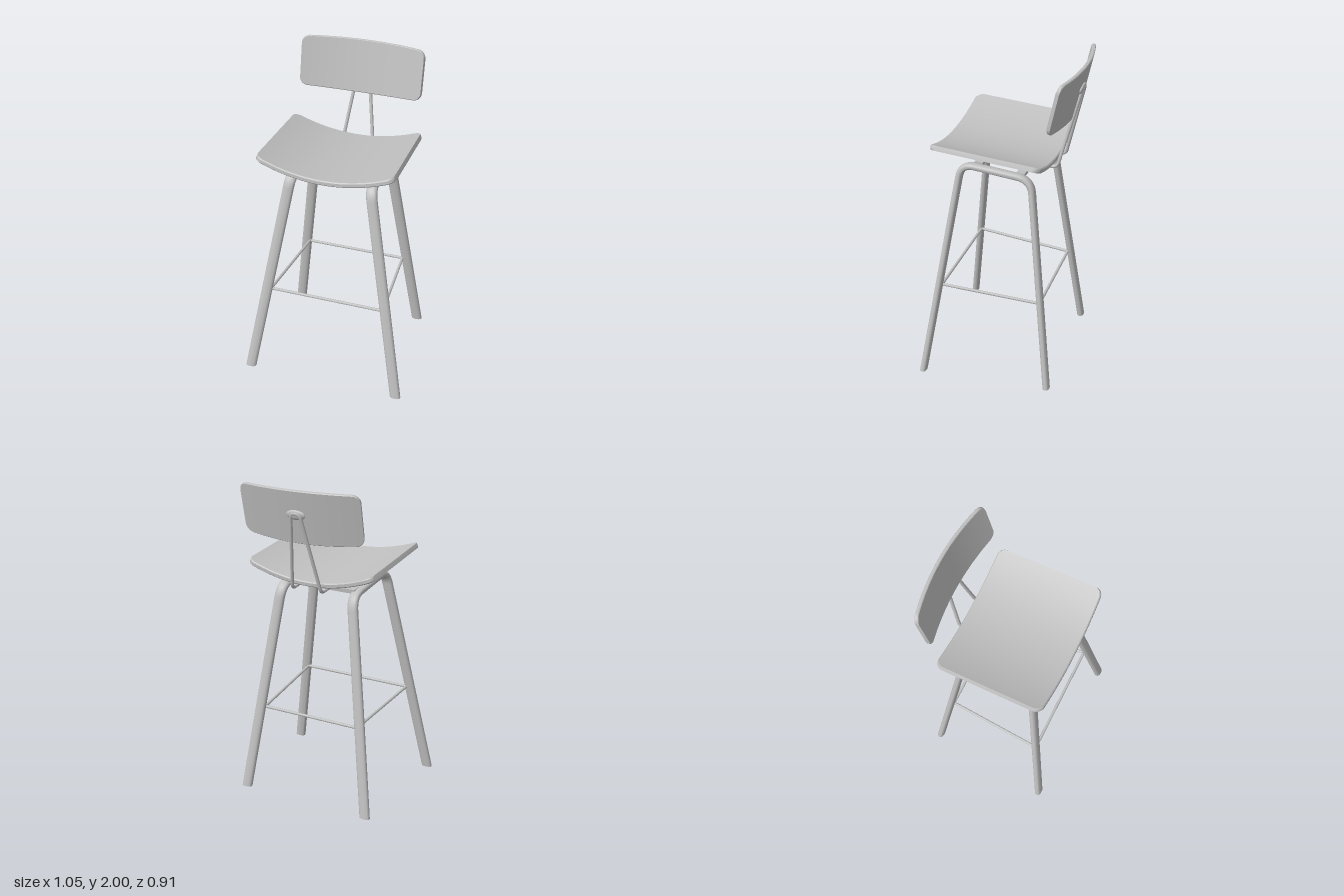
import * as THREE from 'three';
import { toCreasedNormals } from 'three/addons/utils/BufferGeometryUtils.js';

const V = (x, y, z) => new THREE.Vector3(x, y, z);

// Stitches equal rings of points into a closed skin with end caps
function loft(rings, crease) {
  const n = rings[0].length, pos = [], index = [];
  rings.forEach(r => r.forEach(p => pos.push(p.x, p.y, p.z)));
  for (let i = 0; i < rings.length - 1; i++) {
    for (let j = 0; j < n; j++) {
      const a = i * n + j, b = i * n + (j + 1) % n;
      index.push(a, b, a + n, b, b + n, a + n);
    }
  }
  const end = (rings.length - 1) * n;
  for (let j = 1; j < n - 1; j++) index.push(0, j + 1, j, end, end + j, end + j + 1);
  const g = new THREE.BufferGeometry();
  g.setAttribute('position', new THREE.Float32BufferAttribute(pos, 3));
  g.setIndex(index);
  return toCreasedNormals(g, crease);
}

// Replaces the inner corners of a polyline by short arcs
function roundPath(pts, trim) {
  const out = [pts[0]];
  for (let i = 1; i < pts.length - 1; i++) {
    const c = pts[i];
    const toward = q => c.clone().add(q.clone().sub(c).setLength(Math.min(trim, q.distanceTo(c) * 0.48)));
    out.push(...new THREE.QuadraticBezierCurve3(toward(pts[i - 1]), c, toward(pts[i + 1])).getPoints(9));
  }
  out.push(pts[pts.length - 1]);
  return out;
}

// Oval bar swept along a bent path, its feet cut level with the floor
function legFrame(corners) {
  const path = roundPath(corners, 0.085), N = 24, last = path.length - 1;
  const normal = corners[1].clone().sub(corners[0]).cross(corners[2].clone().sub(corners[1])).normalize();
  const power = v => Math.sign(v) * Math.pow(Math.abs(v), 0.8);
  const rings = path.map((p, i) => {
    const t = V(0, 0, 0);
    if (i > 0) t.add(p.clone().sub(path[i - 1]).normalize());
    if (i < last) t.add(path[i + 1].clone().sub(p).normalize());
    t.normalize();
    const u = normal.clone().addScaledVector(t, -normal.dot(t)).normalize();
    const v = t.clone().cross(u);
    return Array.from({ length: N }, (_, j) => {
      const a = j / N * Math.PI * 2;
      const q = p.clone().addScaledVector(u, 0.033 * power(Math.cos(a))).addScaledVector(v, 0.021 * power(Math.sin(a)));
      if (i === 0 || i === last) q.addScaledVector(t, -q.y / t.y);
      return q;
    });
  });
  return loft(rings, 0.7);
}

// Curved rounded panel: x across, z along, ends rising by sag in y
function panel({ w, h, r, t, sag, bow }) {
  const xs = [];
  for (let i = 0; i <= 8; i++) xs.push(-w + r * (1 - Math.cos(i / 8 * Math.PI / 2)));
  for (let i = 1; i < 24; i++) xs.push((w - r) * (i / 12 - 1));
  for (let i = 8; i >= 0; i--) xs.push(w - r * (1 - Math.cos(i / 8 * Math.PI / 2)));
  const e = t * 0.2;
  const rings = xs.map(x => {
    const d = Math.max(0, Math.abs(x) - (w - r));
    const half = h - bow * (x / w) ** 2 - r + Math.sqrt(Math.max(0, r * r - d * d));
    const k = 2 * sag * x / (w * w), len = Math.hypot(1, k);
    const section = [[half - e, -t / 2], [half, -t / 2 + e], [half, t / 2 - e], [half - e, t / 2],
      [-half + e, t / 2], [-half, t / 2 - e], [-half, -t / 2 + e], [-half + e, -t / 2]];
    return section.map(([z, n]) => V(x - k / len * n, sag * (x / w) ** 2 + n / len, z)).reverse();
  });
  return loft(rings, 0.6);
}

// Round rod between two points
function rod(a, b, radius) {
  return new THREE.TubeGeometry(new THREE.LineCurve3(a, b), 1, radius, 12);
}

export function createModel() {
  const model = new THREE.Group();
  model.name = 'barStool';
  const grey = new THREE.MeshStandardMaterial({ color: 0xc0c0c0, side: THREE.DoubleSide });
  grey.name = 'lightGrey';
  const add = (name, geometry, x = 0, y = 0, z = 0) => {
    const mesh = new THREE.Mesh(geometry, grey);
    mesh.name = name;
    mesh.position.set(x, y, z);
    model.add(mesh);
    return mesh;
  };

  // Bent leg frames and footrest sides, one per side
  for (const s of [1, -1]) {
    const side = s > 0 ? 'left' : 'right';
    add(side + 'LegFrame', legFrame([
      V(s * 0.49, 0, 0.433), V(s * 0.245, 1.387, 0.232), V(s * 0.24, 1.343, -0.198), V(s * 0.425, 0, -0.367)]));
    add(side + 'FootrestRod', rod(V(s * 0.365, 0.59, 0.335), V(s * 0.325, 0.55, -0.285), 0.009));
  }
  add('frontFootrestRod', rod(V(-0.37, 0.592, 0.335), V(0.37, 0.592, 0.335), 0.009));
  add('backFootrestRod', rod(V(-0.335, 0.55, -0.285), V(0.335, 0.55, -0.285), 0.009));

  // Crossbars joining the leg frames
  add('frontCrossbar', new THREE.BoxGeometry(0.47, 0.026, 0.05), 0, 1.392, 0.13).rotation.x = -0.1;
  add('backCrossbar', new THREE.BoxGeometry(0.47, 0.026, 0.05), 0, 1.36, -0.13).rotation.x = -0.1;

  // Wire loop running under the seat and up to the backrest
  const loop = roundPath([
    V(0, 1.425, 0.18), V(0.1, 1.425, 0.18), V(0.097, 1.374, -0.312), V(0.028, 1.862, -0.434),
    V(-0.028, 1.862, -0.434), V(-0.097, 1.374, -0.312), V(-0.1, 1.425, 0.18), V(0, 1.425, 0.18)], 0.035);
  const wire = new THREE.CurvePath();
  for (let i = 1; i < loop.length; i++) wire.add(new THREE.LineCurve3(loop[i - 1], loop[i]));
  add('supportWire', new THREE.TubeGeometry(wire, 240, 0.0105, 10));

  // Mount on the rear of the backrest
  const mount = add('backrestMount', new THREE.SphereGeometry(1, 24, 12), 0, 1.853, -0.427);
  mount.scale.set(0.062, 0.03, 0.014);
  mount.rotation.x = -0.215;

  // Curved seat, lower towards the back
  const seat = add('seat', panel({ w: 0.415, h: 0.341, r: 0.045, t: 0.03, sag: 0.086, bow: 0.006 }), 0, 1.438, 0.04);
  seat.rotation.x = -0.08;

  // Curved backrest, leaning back
  const backrest = add('backrest', panel({ w: 0.385, h: 0.163, r: 0.045, t: 0.022, sag: 0.052, bow: 0.01 }), 0, 1.838, -0.41);
  backrest.rotation.x = Math.PI / 2 - 0.215;

  return model;
}
